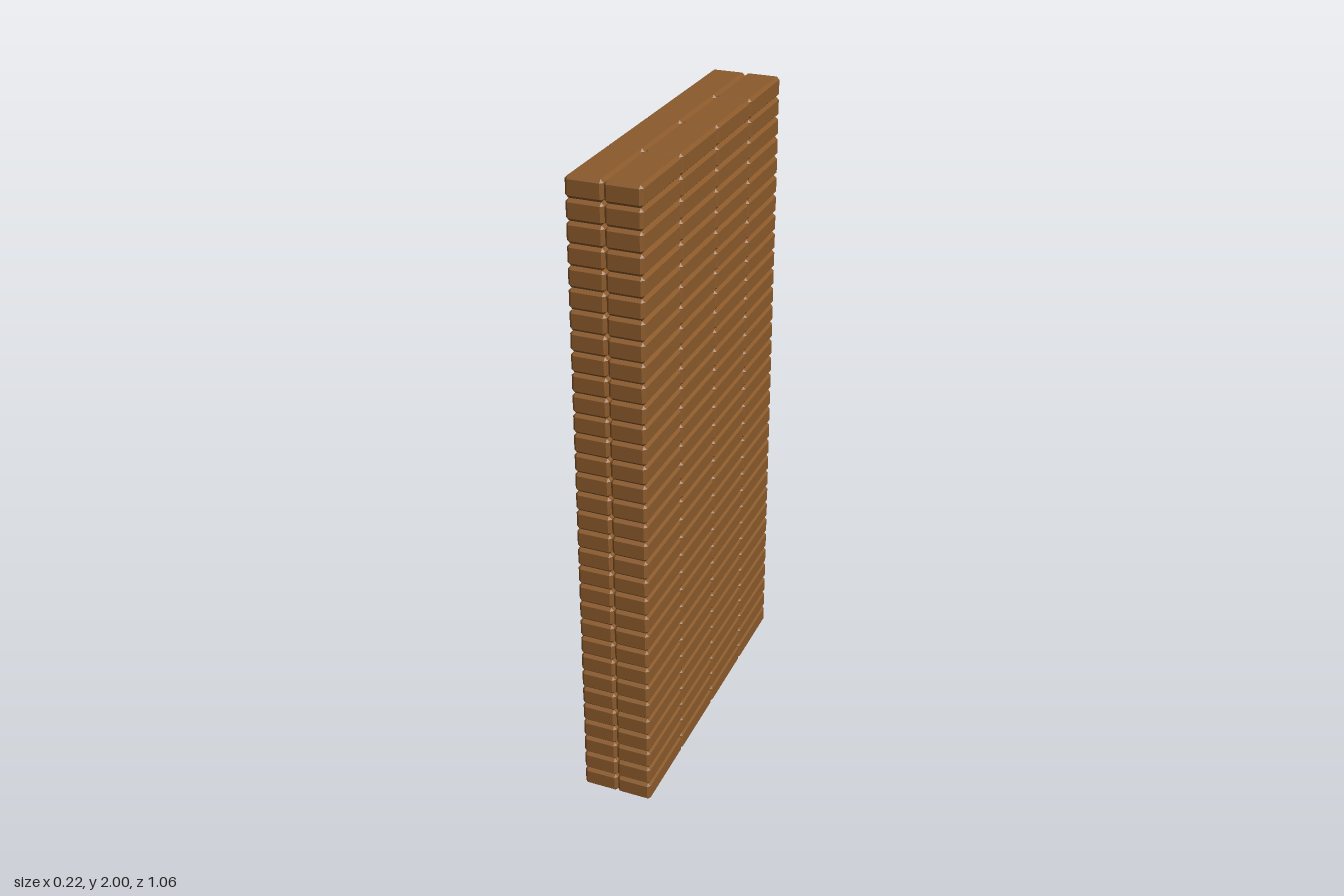
import * as THREE from 'three';
import { ConvexGeometry } from 'three/addons/geometries/ConvexGeometry.js';

// Box with every edge cut flat: each face is an inset rectangle, corners become triangles
function chamferedBox(w, h, d, c) {
  const [x, y, z] = [w / 2, h / 2, d / 2];
  const points = [];
  for (const sx of [-1, 1]) for (const sy of [-1, 1]) for (const sz of [-1, 1]) {
    points.push(
      new THREE.Vector3(sx * x, sy * (y - c), sz * (z - c)),
      new THREE.Vector3(sx * (x - c), sy * y, sz * (z - c)),
      new THREE.Vector3(sx * (x - c), sy * (y - c), sz * z),
    );
  }
  return new ConvexGeometry(points);
}

export function createModel() {
  const wall = new THREE.Group();
  wall.name = 'brickWall';

  const columns = 2, courses = 32, length = 4;
  const pitch = { x: 0.1105, y: 2 / courses, z: 0.264 };
  const joint = 0.0006;
  const chamfer = 0.009;

  const material = new THREE.MeshStandardMaterial({ color: 0x8b5a2b, flatShading: true });
  const brickGeometry = chamferedBox(pitch.x - joint, pitch.y - joint, pitch.z - joint, chamfer);

  // Straight-stacked courses, two bricks thick and four long
  for (let j = 0; j < courses; j++) {
    const course = new THREE.Group();
    course.name = `course${j + 1}`;
    course.position.y = (j + 0.5) * pitch.y;
    for (let i = 0; i < columns; i++) {
      for (let k = 0; k < length; k++) {
        const brick = new THREE.Mesh(brickGeometry, material);
        brick.name = 'brick';
        brick.position.set((i - (columns - 1) / 2) * pitch.x, 0, (k - (length - 1) / 2) * pitch.z);
        course.add(brick);
      }
    }
    wall.add(course);
  }
  return wall;
}
